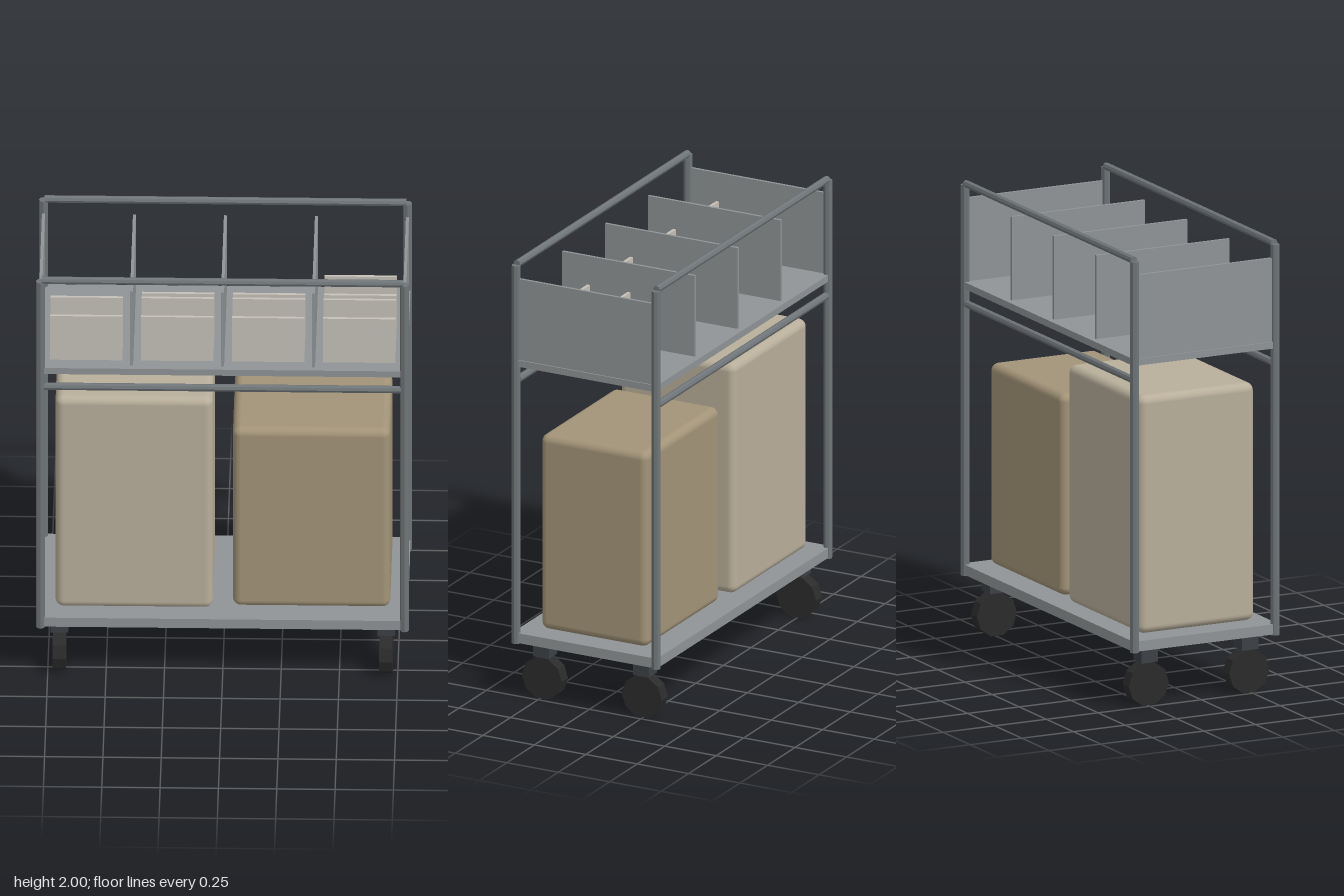
import * as THREE from 'three';
import { RoundedBoxGeometry } from 'three/addons/geometries/RoundedBoxGeometry.js';

const mat = (color, flatShading = true) => new THREE.MeshStandardMaterial({ color, flatShading });

export function createModel() {
  const cart = new THREE.Group();
  cart.name = 'storageCart';
  const frame = mat(0x6f7578), panel = mat(0x8f9496), mount = mat(0x3c4146), rubber = mat(0x2b2b2b);
  const paper = mat(0xc5c0b8), lightFabric = mat(0xb8ae9a, false), darkFabric = mat(0xa39478, false);

  const add = (name, geometry, material, x, y, z) => {
    const mesh = new THREE.Mesh(geometry, material);
    mesh.name = name;
    mesh.position.set(x, y, z);
    cart.add(mesh);
    return mesh;
  };
  const box = (name, material, w, h, d, x, y, z) =>
    add(name, new THREE.BoxGeometry(w, h, d), material, x, y, z);

  // Decks
  box('lowerDeck', panel, 1.585, 0.045, 0.7, 0, 0.2825, 0);
  box('upperShelf', panel, 1.585, 0.03, 0.7, 0, 1.537, 0);

  // Posts and casters at the four corners
  for (const sx of [-1, 1]) for (const sz of [-1, 1]) {
    add('post', new THREE.CylinderGeometry(0.02, 0.02, 1.725, 8), frame, sx * 0.78, 1.1175, sz * 0.34);
    box('casterMount', mount, 0.075, 0.067, 0.078, sx * 0.7, 0.2235, sz * 0.243);
    const wheel = add('casterWheel', new THREE.CylinderGeometry(0.097, 0.097, 0.057, 10), rubber,
      sx * 0.7, 0.0923, sz * 0.243);
    wheel.rotation.z = Math.PI / 2;
  }

  // Long rails, front and back
  for (const sz of [-1, 1]) for (const [y, length] of [[1.984, 1.55], [1.455, 1.53]]) {
    const rail = add('rail', new THREE.CylinderGeometry(0.0165, 0.0165, length, 8), frame, 0, y, sz * 0.339);
    rail.rotation.z = Math.PI / 2;
  }

  // End panels and dividers of the upper bins
  for (const x of [-0.78, -0.39, 0, 0.39, 0.78])
    box(Math.abs(x) > 0.5 ? 'endPanel' : 'divider', panel, 0.013, 0.37, 0.645, x, 1.736, 0);

  // Upright cards, of alternating height, in each bin
  [2, 3, 3, 4].forEach((count, bin) => {
    for (let i = 0; i < count; i++) {
      const height = i % 2 ? 0.253 : 0.218;
      box('card', paper, 0.31, height, 0.014, -0.585 + bin * 0.39, 1.552 + height / 2, 0.273 - i * 0.098);
    }
  });

  // Soft-edged containers on the lower deck
  add('tallContainer', new RoundedBoxGeometry(0.675, 1.05, 0.56, 4, 0.035), lightFabric, -0.38, 0.835, 0);
  add('shortContainer', new RoundedBoxGeometry(0.675, 0.89, 0.52, 4, 0.035), darkFabric, 0.38, 0.755, 0);

  return cart;
}
